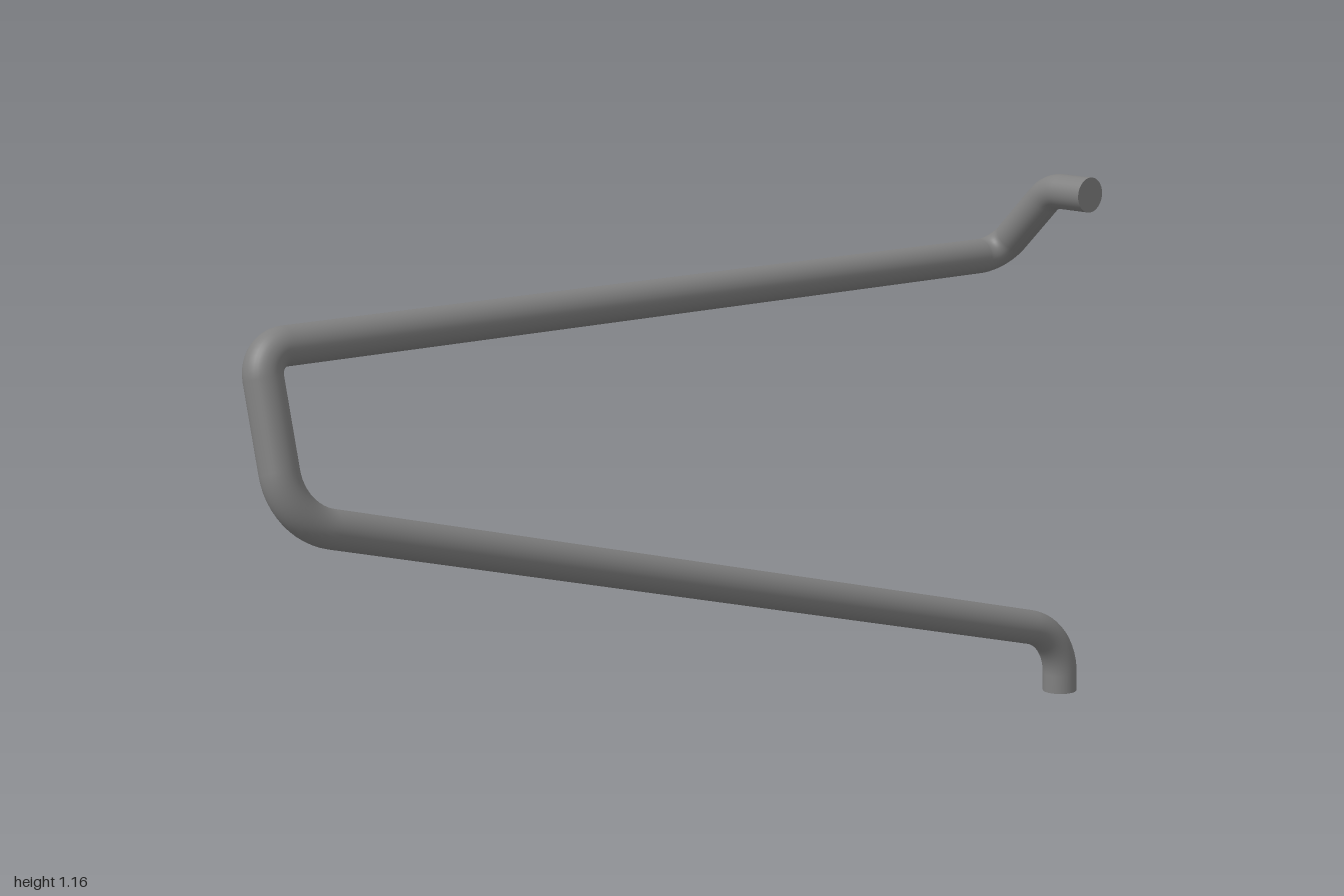
import * as THREE from 'three';

const RADIUS = 0.038;
const SIDES = 32;

// Straight runs joined by circular bends, sampled only where needed
class BentPath extends THREE.Curve {
  constructor(corners) {
    super();
    this.samples = [];
    const pts = corners.map(([x, y, z]) => new THREE.Vector3(x, y, z));
    const dirs = pts.slice(1).map((p, i) => p.clone().sub(pts[i]).normalize());
    this.add(pts[0], dirs[0]);
    for (let i = 1; i < pts.length - 1; i++) {
      const a = dirs[i - 1], b = dirs[i], r = corners[i][3];
      const turn = a.angleTo(b);
      const start = pts[i].clone().addScaledVector(a, -r * Math.tan(turn / 2));
      const inward = b.clone().addScaledVector(a, -a.dot(b)).normalize();
      for (let k = 0; k <= 12; k++) {
        const t = turn * k / 12;
        this.add(
          start.clone().addScaledVector(a, r * Math.sin(t)).addScaledVector(inward, r * (1 - Math.cos(t))),
          a.clone().multiplyScalar(Math.cos(t)).addScaledVector(inward, Math.sin(t)));
      }
    }
    this.add(pts[pts.length - 1], dirs[dirs.length - 1]);
  }
  add(point, tangent) { this.samples.push({ point, tangent }); }
  get segments() { return this.samples.length - 1; }
  at(u) { return this.samples[Math.round(u * this.segments)]; }
  getPointAt(u, target = new THREE.Vector3()) { return target.copy(this.at(u).point); }
  getTangentAt(u, target = new THREE.Vector3()) { return target.copy(this.at(u).tangent); }
  getPoint(u, target) { return this.getPointAt(u, target); }
  getTangent(u, target) { return this.getTangentAt(u, target); }
}

export function createModel() {
  const group = new THREE.Group();
  group.name = 'bentRod';
  const grey = new THREE.MeshStandardMaterial({ color: 0x808080 });
  grey.name = 'grey';

  // Corner x, y, z and bend radius, from the foot to the hooked tip
  const path = new BentPath([
    [0.107, 0, -0.962],
    [0.103, 0.136, -0.962, 0.125],
    [-0.035, 0.656, 0.962, 0.122],
    [-0.117, 0.967, 0.962, 0.055],
    [-0.117, 0.967, -0.962, 0.058],
    [0.041, 1.124, -0.962, 0.075],
    [0.155, 1.124, -0.962],
  ]);
  const rod = new THREE.Mesh(new THREE.TubeGeometry(path, path.segments, RADIUS, SIDES, false), grey);
  rod.name = 'rod';
  group.add(rod);

  // Flat end caps
  for (const [name, u, sign] of [['footCap', 0, -1], ['tipCap', 1, 1]]) {
    const cap = new THREE.Mesh(new THREE.CircleGeometry(RADIUS, SIDES), grey);
    cap.name = name;
    cap.position.copy(path.getPointAt(u));
    cap.quaternion.setFromUnitVectors(new THREE.Vector3(0, 0, 1), path.getTangentAt(u).multiplyScalar(sign));
    group.add(cap);
  }
  return group;
}
